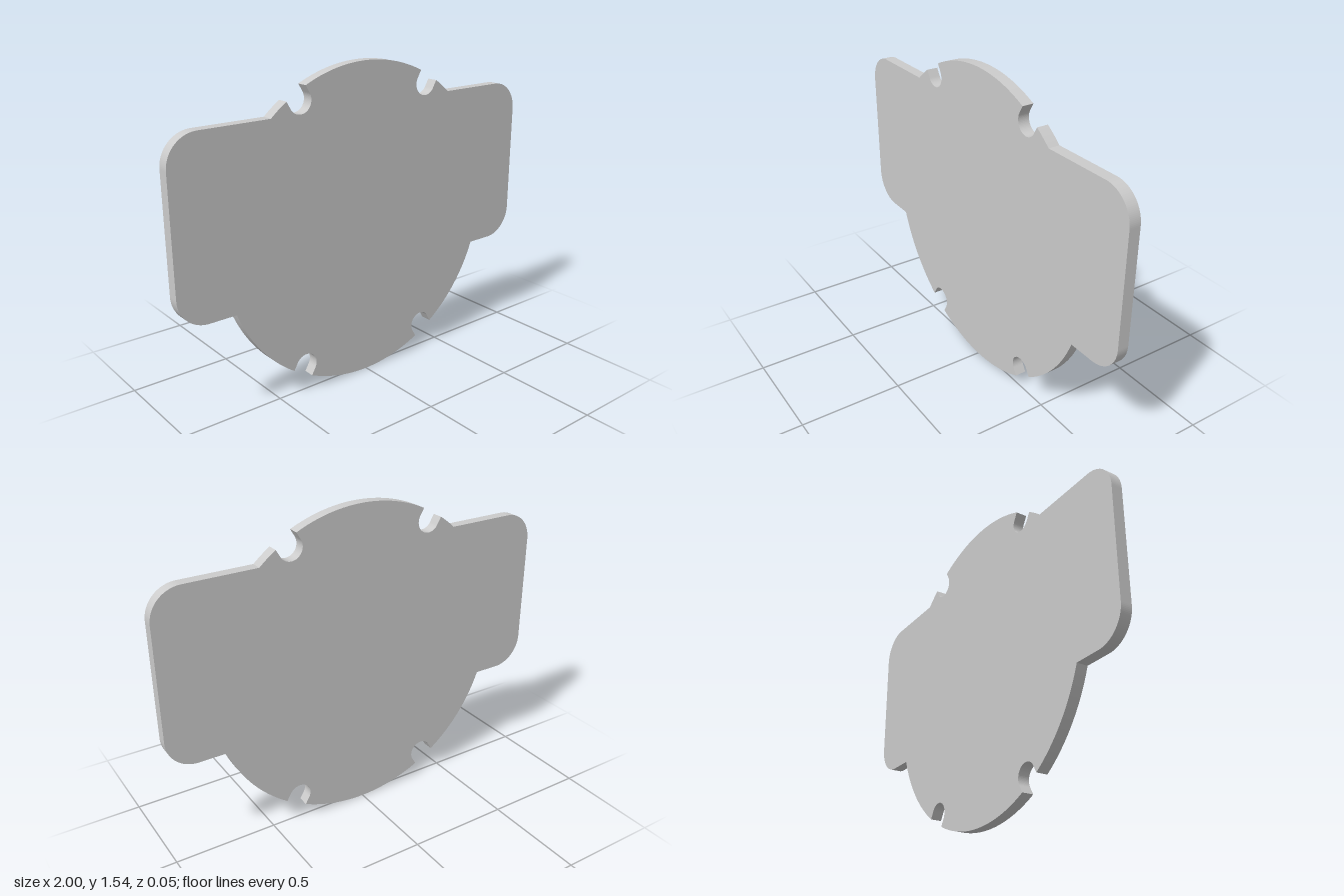
import * as THREE from 'three';

const R = 0.768;            // disc radius, also its centre height
const THICK = 0.055;
const TAB_LOW = 0.507, TAB_HIGH = 1.34, CORNER = 0.145;
const SLOT_R = 0.058, SLOT_DIST = 0.725;
const rad = THREE.MathUtils.degToRad;

// Round-ended notch cut into the rim at angle t
function addNotch(shape, t) {
  shape.absarc(Math.cos(t) * SLOT_DIST, R + Math.sin(t) * SLOT_DIST, SLOT_R,
    t - Math.PI / 2, t - Math.PI * 1.5, true);
}

// Rounded tab on one side; side is +1 (left) or -1 (right)
function addTab(shape, side) {
  const x = side * (1 - CORNER), low = TAB_LOW + CORNER, high = TAB_HIGH - CORNER;
  if (side > 0) {
    shape.absarc(x, low, CORNER, -Math.PI / 2, 0, false);
    shape.absarc(x, high, CORNER, 0, Math.PI / 2, false);
  } else {
    shape.absarc(x, high, CORNER, Math.PI / 2, Math.PI, false);
    shape.absarc(x, low, CORNER, Math.PI, Math.PI * 1.5, false);
  }
}

export function createModel() {
  const group = new THREE.Group();
  group.name = 'notchedPlate';

  const half = Math.asin(SLOT_R / R);            // half angle of a notch mouth
  const aLow = Math.asin((TAB_LOW - R) / R);     // where the rim meets the tabs
  const aHigh = Math.asin((TAB_HIGH - R) / R);
  const n = rad(60);
  const shape = new THREE.Shape();
  const rim = (from, to) => shape.absarc(0, R, R, from, to, false);

  // Outline, counter-clockwise from the lower left notch
  rim(-n + half, aLow);
  addTab(shape, 1);
  rim(aHigh, n - half);
  addNotch(shape, n);
  rim(n + half, Math.PI - n - half);
  addNotch(shape, Math.PI - n);
  rim(Math.PI - n + half, Math.PI - aHigh);
  addTab(shape, -1);
  rim(Math.PI - aLow, Math.PI + n - half);
  addNotch(shape, Math.PI + n);
  rim(Math.PI + n + half, Math.PI * 2 - n - half);
  addNotch(shape, -n);
  shape.closePath();

  const geometry = new THREE.ExtrudeGeometry(shape, {
    depth: THICK, bevelEnabled: false, curveSegments: 16,
  });
  geometry.translate(0, 0, -THICK / 2);

  const plate = new THREE.Mesh(geometry, new THREE.MeshStandardMaterial({ color: 0xcccccc }));
  plate.name = 'plate';
  group.add(plate);
  return group;
}
